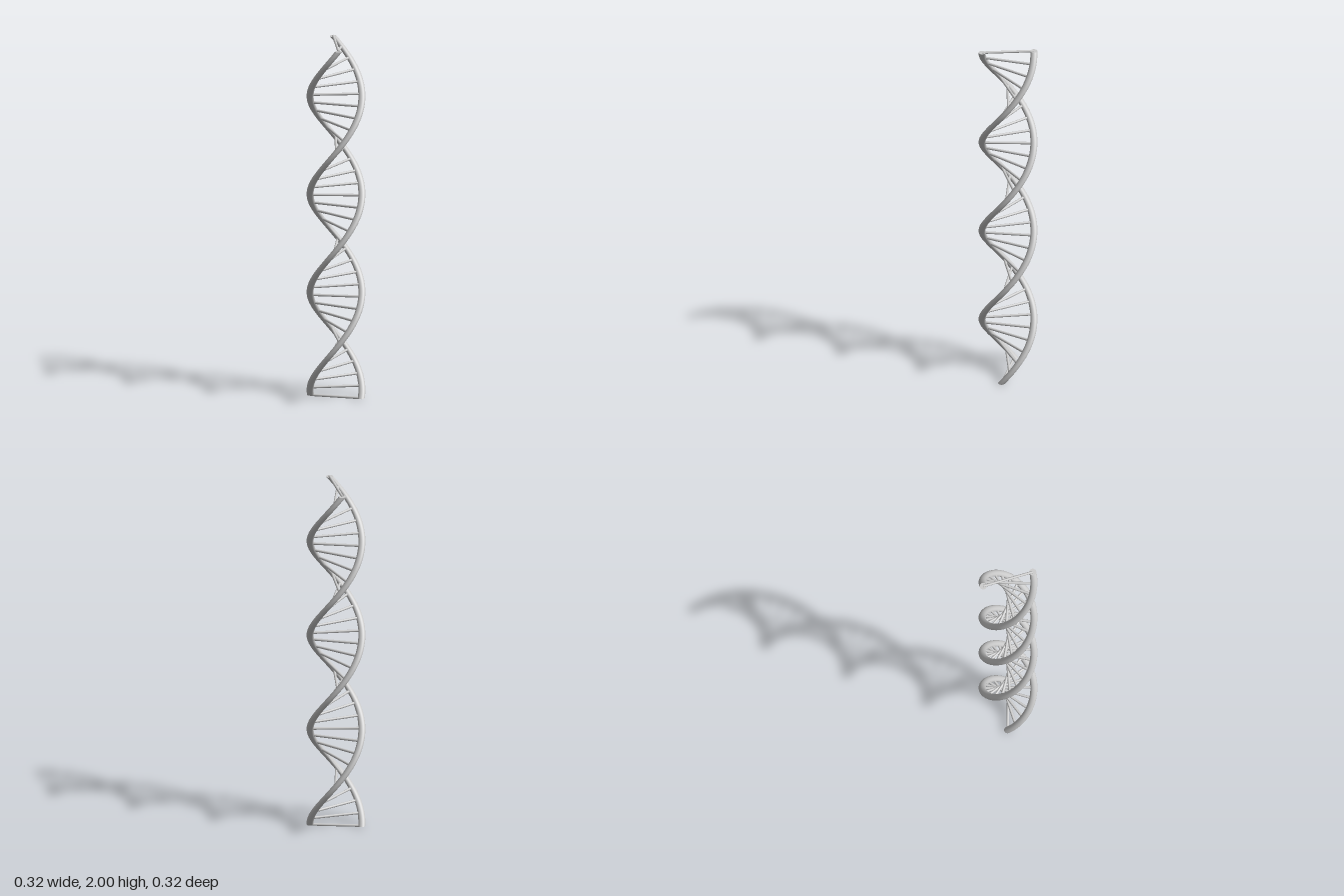
import * as THREE from 'three';

const RADIUS = 0.139;        // helix centre line
const STRAND_R = 0.019;
const RUNG_R = 0.007;
const RUNGS = 36;
const BOTTOM = RUNG_R, TOP = 2 - RUNG_R;
const TWIST = THREE.MathUtils.degToRad(648) / (TOP - BOTTOM); // radians per unit height
const TOP_ANGLE = THREE.MathUtils.degToRad(45.5);

const angleAt = (y) => TOP_ANGLE + (y - TOP) * TWIST;

// Upright rod whose level cross-sections are shifted along a helix
function strandGeometry(phase) {
  const geo = new THREE.CylinderGeometry(STRAND_R, STRAND_R, TOP - BOTTOM, 24, 160);
  geo.translate(0, (TOP + BOTTOM) / 2, 0);
  const pos = geo.attributes.position, nor = geo.attributes.normal;
  const n = new THREE.Vector3();
  for (let i = 0; i < pos.count; i++) {
    const y = pos.getY(i), a = angleAt(y) + phase;
    const c = RADIUS * Math.cos(a), s = RADIUS * Math.sin(a);
    pos.setXYZ(i, pos.getX(i) + c, y, pos.getZ(i) - s);
    n.fromBufferAttribute(nor, i);
    if (Math.abs(n.y) < 0.5) {
      // tilt side normals to follow the slope of the helix
      n.y = TWIST * (n.x * s + n.z * c);
      n.normalize();
      nor.setXYZ(i, n.x, n.y, n.z);
    }
  }
  return geo;
}

export function createModel() {
  const model = new THREE.Group();
  model.name = 'doubleHelix';
  const material = new THREE.MeshStandardMaterial({ color: 0xcccccc });

  // Two opposite strands
  for (const [name, phase] of [['strandA', 0], ['strandB', Math.PI]]) {
    const strand = new THREE.Mesh(strandGeometry(phase), material);
    strand.name = name;
    model.add(strand);
  }

  // Rungs joining the strands, turning with them
  const rungs = new THREE.Group();
  rungs.name = 'rungs';
  const rungGeo = new THREE.CylinderGeometry(RUNG_R, RUNG_R, RADIUS * 2, 16);
  rungGeo.rotateZ(Math.PI / 2);
  for (let i = 0; i < RUNGS; i++) {
    const rung = new THREE.Mesh(rungGeo, material);
    rung.name = 'rung' + (i + 1);
    rung.position.y = THREE.MathUtils.lerp(BOTTOM, TOP, i / (RUNGS - 1));
    rung.rotation.y = angleAt(rung.position.y);
    rungs.add(rung);
  }
  model.add(rungs);
  return model;
}
